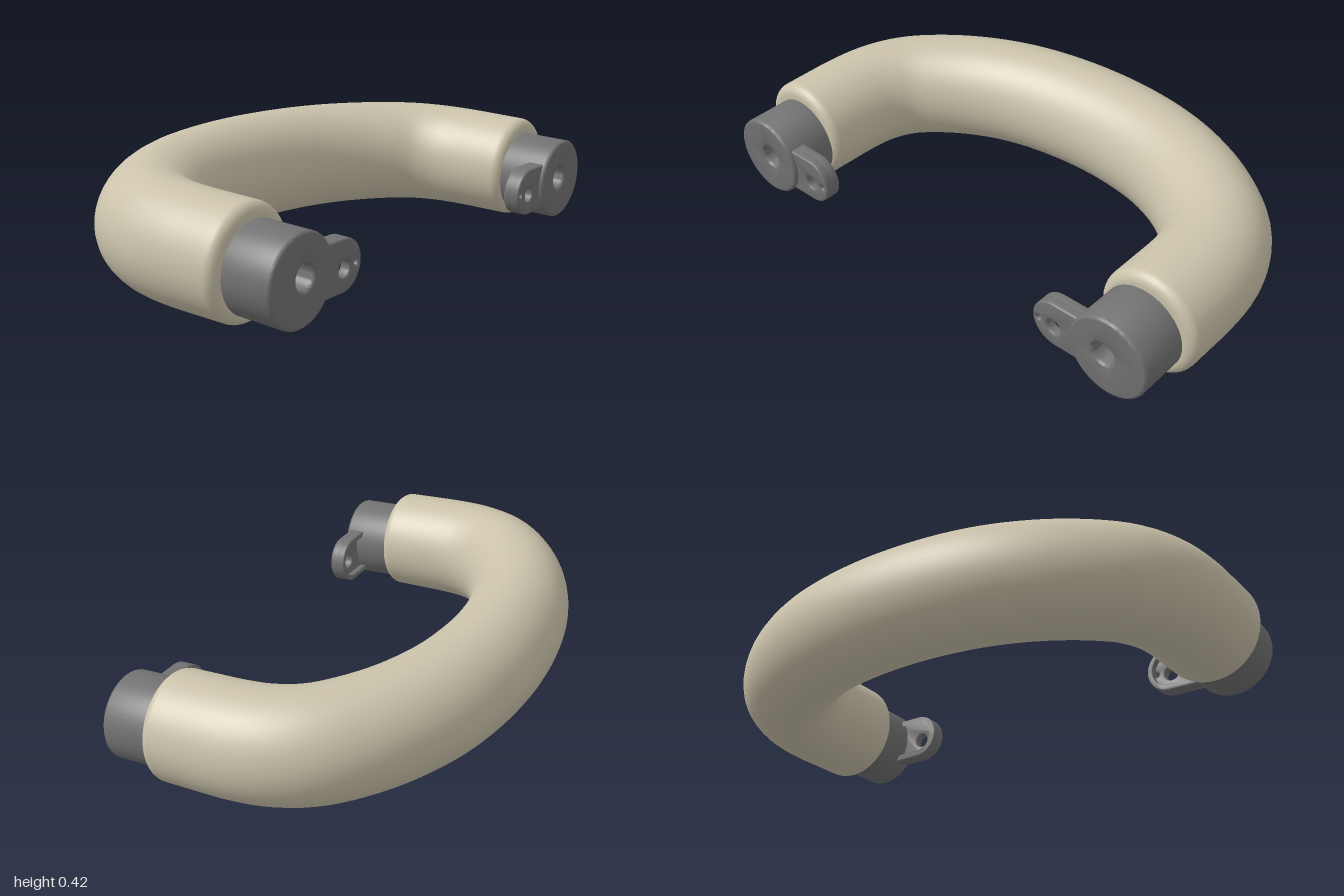
import * as THREE from 'three';
import { toCreasedNormals } from 'three/addons/utils/BufferGeometryUtils.js';

const gripMat = new THREE.MeshStandardMaterial({ color: 0xcac2aa });
gripMat.name = 'beige grip';
const mountMat = new THREE.MeshStandardMaterial({ color: 0x727272 });
mountMat.name = 'grey mount';

function addMesh(parent, name, geometry, material) {
  const mesh = new THREE.Mesh(geometry, material);
  mesh.name = name;
  parent.add(mesh);
  return mesh;
}

// Curved grip: oval sections swept along a bow, with rounded ends
function gripGeometry() {
  const half = [[0.815, 0.385], [0.815, 0.27], [0.813, 0.13], [0.796, 0.02], [0.745, -0.09],
    [0.65, -0.185], [0.5, -0.28], [0.3, -0.352]];
  const plan = [...half, [0, -0.385], ...half.map(([x, z]) => [-x, z]).reverse()];
  const curve = new THREE.CatmullRomCurve3(
    plan.map(([x, z]) => new THREE.Vector3(x, 0.205 - 0.04 * z, z)), false, 'centripetal');
  curve.arcLengthDivisions = 600;
  const length = curve.getLength();

  // Stations along the bow: [position, section scale]
  const fillet = 0.035, start = [[0, 0], [0, 0.7]];
  for (let i = 0; i <= 6; i++) {
    const a = (i / 6) * Math.PI / 2;
    start.push([fillet * (1 - Math.cos(a)) / length, 1 - fillet * (1 - Math.sin(a)) / 0.185]);
  }
  const stations = [...start];
  const inset = fillet / length;
  for (let i = 1; i < 80; i++) stations.push([inset + (1 - 2 * inset) * i / 80, 1]);
  stations.push(...start.map(([t, s]) => [1 - t, s]).reverse());

  const sides = 48, positions = [], index = [];
  const up = new THREE.Vector3(0, 1, 0);
  stations.forEach(([t, scale], i) => {
    const centre = curve.getPointAt(t), tangent = curve.getTangentAt(t);
    const across = tangent.clone().cross(up).normalize();
    const upward = across.clone().cross(tangent);
    const height = 0.19 + 0.012 * Math.sin(Math.PI * t);
    for (let j = 0; j < sides; j++) {
      const a = (j / sides) * Math.PI * 2;
      const p = centre.clone()
        .addScaledVector(across, Math.cos(a) * 0.185 * scale)
        .addScaledVector(upward, Math.sin(a) * height * scale);
      positions.push(p.x, p.y, p.z);
      if (i === stations.length - 1) continue;
      const k = (j + 1) % sides, r0 = i * sides, r1 = r0 + sides;
      index.push(r0 + j, r1 + j, r0 + k, r1 + j, r1 + k, r0 + k);
    }
  });
  const geometry = new THREE.BufferGeometry();
  geometry.setAttribute('position', new THREE.Float32BufferAttribute(positions, 3));
  geometry.setIndex(index);
  geometry.computeVertexNormals();
  return geometry;
}

function circle(Type, x, y, r) {
  const path = new Type();
  path.absarc(x, y, r, 0, Math.PI * 2);
  return path;
}

// Tongue outline with a round tip; s mirrors it
function tongue(Type, s, rootX, r) {
  const points = [new THREE.Vector2(s * rootX, -0.0125 - r)];
  for (let i = 0; i <= 24; i++) {
    const a = -Math.PI / 2 - (i / 24) * Math.PI;
    points.push(new THREE.Vector2(s * (-0.2225 + Math.cos(a) * r), -0.0125 + Math.sin(a) * r));
  }
  points.push(new THREE.Vector2(s * rootX, -0.0125 + r));
  return new Type(points);
}

// Extrusion between two z values with a small rounded edge
function slab(shape, z0, z1, bevel) {
  const geometry = new THREE.ExtrudeGeometry(shape, {
    depth: z1 - z0 - 2 * bevel, curveSegments: 32, bevelEnabled: bevel > 0,
    bevelThickness: bevel, bevelSize: bevel, bevelOffset: -bevel, bevelSegments: 3,
  });
  geometry.translate(0, 0, z0 + bevel);
  return toCreasedNormals(geometry, 0.6);
}

// End mount: bored sleeve with a drilled side tab
function createMount(s) {
  const mount = new THREE.Group();
  mount.name = s > 0 ? 'leftMount' : 'rightMount';

  const sleeve = circle(THREE.Shape, 0, 0, 0.15);
  sleeve.holes.push(circle(THREE.Path, -0.015 * s, 0.008, 0.042));
  addMesh(mount, 'sleeve', slab(sleeve, -0.2, 0, 0.01), mountMat);

  const plate = tongue(THREE.Shape, s, -0.09, 0.0875);
  plate.holes.push(circle(THREE.Path, -0.225 * s, -0.022, 0.028));
  plate.holes.push(circle(THREE.Path, -0.285 * s, -0.015, 0.01));
  addMesh(mount, 'tabPlate', slab(plate, -0.052, -0.015, 0.006), mountMat);

  const rim = tongue(THREE.Shape, s, -0.09, 0.0875);
  rim.holes.push(tongue(THREE.Path, s, -0.12, 0.067));
  addMesh(mount, 'tabRim', slab(rim, -0.075, -0.04, 0.004), mountMat);

  mount.position.set(0.805 * s, 0.17, 0.563);
  mount.rotation.x = 0.05;
  return mount;
}

export function createModel() {
  const model = new THREE.Group();
  model.name = 'pullHandle';
  addMesh(model, 'grip', gripGeometry(), gripMat);
  for (const s of [1, -1]) model.add(createMount(s));
  return model;
}
